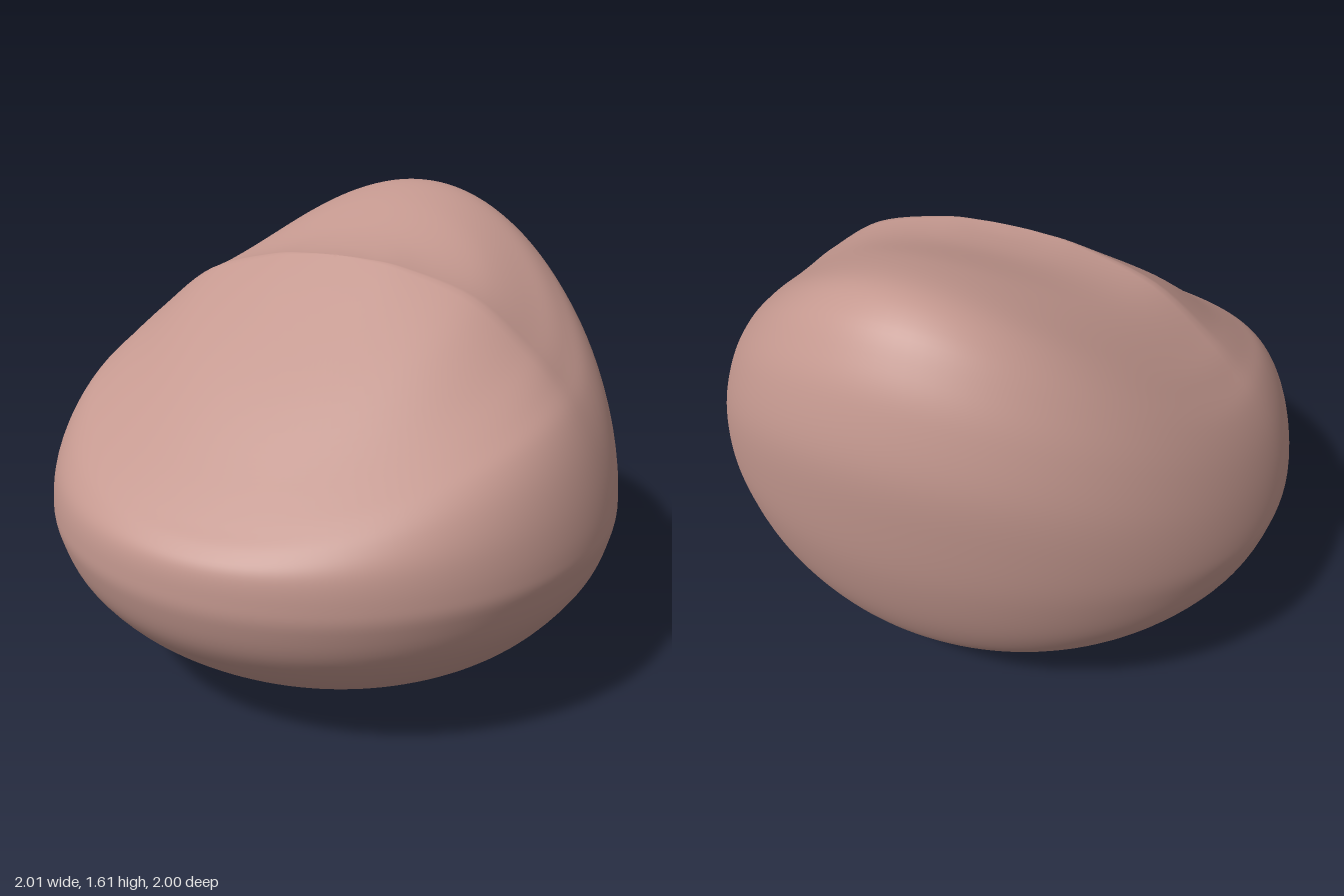
import * as THREE from 'three';

// Meridian profiles [radius, height] from the bottom pole to the top pole
const FRONT = [[0, 0], [.2, .012], [.4, .05], [.61, .135], [.8, .265], [.93, .41], [.99, .55], [1, .64], [.99, .72],
  [.95, .77], [.89, .815], [.81, .873], [.7, .952], [.5, 1.1], [.25, 1.275], [.1, 1.38], [0, 1.45]];
const SIDE = [[0, 0], [.2, .012], [.4, .05], [.61, .125], [.8, .25], [.94, .42], [.995, .57], [1, .66], [.975, .79],
  [.93, .92], [.87, 1.03], [.8, 1.11], [.7, 1.205], [.5, 1.355], [.25, 1.43], [.1, 1.447], [0, 1.45]];
const BACK = [[0, 0], [.2, .012], [.4, .05], [.6, .13], [.76, .265], [.87, .45], [.95, .7], [.99, .95], [1, 1.17],
  [.96, 1.36], [.9, 1.48], [.82, 1.57], [.7, 1.61], [.5, 1.575], [.25, 1.49], [.1, 1.457], [0, 1.45]];

const toCurve = (pts) => new THREE.SplineCurve(pts.map(([r, y]) => new THREE.Vector2(r, y)));

export function createModel() {
  const group = new THREE.Group();
  const clay = new THREE.MeshStandardMaterial({ color: 0xc4988f });
  clay.name = 'dusty pink';

  const [front, side, back] = [FRONT, SIDE, BACK].map(toCurve);
  const rings = 96, segs = 128;
  const pos = [0, 0, 0], index = [];

  // Rings blend the side profile into the front or back one by angle
  for (let i = 1; i < rings; i++) {
    const t = i / rings;
    const f = front.getPoint(t), s = side.getPoint(t), b = back.getPoint(t);
    // the flat front slope meets the back in a soft ridge near the top only
    const power = 2 - THREE.MathUtils.smoothstep(t, 0.5, 0.8);
    for (let j = 0; j < segs; j++) {
      const a = (j / segs) * Math.PI * 2, c = Math.cos(a);
      const p = s.clone().lerp(c > 0 ? f : b, Math.pow(Math.abs(c), c > 0 ? power : 2));
      pos.push(p.x * Math.sin(a), p.y, p.x * c);
    }
  }
  pos.push(0, 1.45, 0);

  // Faces: quads between rings, fans at both poles
  const top = pos.length / 3 - 1;
  const at = (i, j) => 1 + i * segs + (j % segs);
  for (let j = 0; j < segs; j++) {
    index.push(0, at(0, j + 1), at(0, j));
    for (let i = 0; i < rings - 2; i++) {
      index.push(at(i, j), at(i, j + 1), at(i + 1, j + 1), at(i, j), at(i + 1, j + 1), at(i + 1, j));
    }
    index.push(at(rings - 2, j), at(rings - 2, j + 1), top);
  }

  const geo = new THREE.BufferGeometry();
  geo.setAttribute('position', new THREE.Float32BufferAttribute(pos, 3));
  geo.setIndex(index);
  geo.computeVertexNormals();

  const body = new THREE.Mesh(geo, clay);
  body.name = 'pebbleBody';
  group.add(body);
  return group;
}
